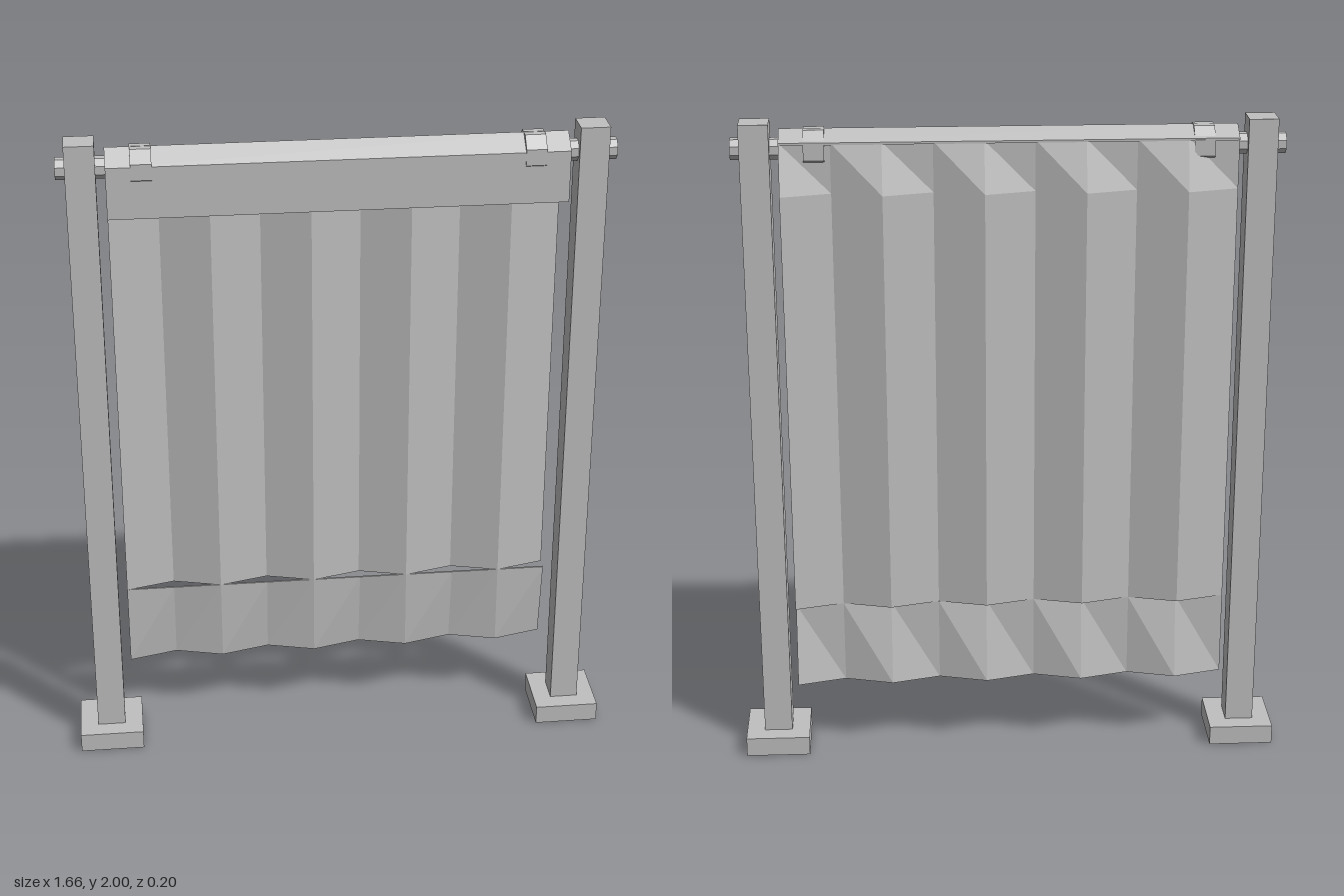
import * as THREE from 'three';

const HALF = 0.66;      // half width of the cloth
const STRIPS = 9;       // number of pleat faces
const THICK = 0.006;

// Folded sheet between two edges; each edge has a height and a z for every fold.
function sheet(topY, topZ, bottomY, bottomZ) {
  const pos = [];
  const p = (i, top, back) => [
    -HALF + (2 * HALF * i) / STRIPS,
    top ? topY : bottomY,
    (top ? topZ(i) : bottomZ(i)) + (back ? -THICK / 2 : THICK / 2),
  ];
  const quad = (a, b, c, d) => pos.push(...a, ...b, ...c, ...a, ...c, ...d);
  for (let i = 0; i < STRIPS; i++) {
    const j = i + 1;
    quad(p(i, 0, 0), p(j, 0, 0), p(j, 1, 0), p(i, 1, 0));
    // back face keeps the same diagonal as the front
    quad(p(i, 0, 1), p(i, 1, 1), p(j, 1, 1), p(j, 0, 1));
    quad(p(i, 1, 0), p(j, 1, 0), p(j, 1, 1), p(i, 1, 1));
    quad(p(i, 0, 1), p(j, 0, 1), p(j, 0, 0), p(i, 0, 0));
  }
  quad(p(0, 0, 1), p(0, 0, 0), p(0, 1, 0), p(0, 1, 1));
  const n = STRIPS;
  quad(p(n, 0, 0), p(n, 0, 1), p(n, 1, 1), p(n, 1, 0));
  const g = new THREE.BufferGeometry();
  g.setAttribute('position', new THREE.Float32BufferAttribute(pos, 3));
  g.computeVertexNormals();
  return g;
}

// Faceted cylinder lying along x
function bar(radius, length, sides) {
  const g = new THREE.CylinderGeometry(radius, radius, length, sides, 1, false, Math.PI / sides)
    .rotateZ(Math.PI / 2).toNonIndexed();
  g.computeVertexNormals();
  return g;
}

export function createModel() {
  const group = new THREE.Group();
  const grey = new THREE.MeshStandardMaterial({ color: 0xc0c0c0 });
  grey.name = 'plain grey';

  const add = (name, geometry, x = 0, y = 0, z = 0) => {
    const m = new THREE.Mesh(geometry, grey);
    m.name = name;
    m.position.set(x, y, z);
    group.add(m);
    return m;
  };

  // Posts, feet and collars on both sides
  for (const [side, s] of [['left', 1], ['right', -1]]) {
    add(side + 'Post', new THREE.BoxGeometry(0.086, 1.94, 0.086), s * 0.73, 1.03);
    add(side + 'Foot', new THREE.BoxGeometry(0.197, 0.06, 0.197), s * 0.73, 0.03);
    add(side + 'Collar', bar(0.062, 0.06, 8), s * 0.56, 1.922);
  }

  // Rod through the posts
  add('rod', bar(0.032, 1.6, 8), 0, 1.922);

  // Front flap folded over the rod
  const profile = [
    [0.049, 1.783], [0.055, 1.783], [0.055, 1.937], [0, 1.98],
    [-0.057, 1.95], [-0.057, 1.943], [0, 1.973], [0.049, 1.934],
  ].map(([z, y]) => new THREE.Vector2(z, y));
  const flap = new THREE.ExtrudeGeometry(new THREE.Shape(profile), {
    depth: 2 * HALF, bevelEnabled: false,
  }).rotateY(-Math.PI / 2).translate(HALF, 0, 0);
  add('frontFlap', flap);

  // Back cloth: gathered top, pleated drop and flared hem
  const pleat = (i) => (i % 2 ? -0.086 : -0.048);
  const straight = () => -0.049;
  add('gatheredTop', sheet(1.95, straight, 1.8, pleat));
  add('pleatedCurtain', sheet(1.8, pleat, 0.5, pleat));
  add('flaredHem', sheet(0.5, straight, 0.24, pleat));

  return group;
}
